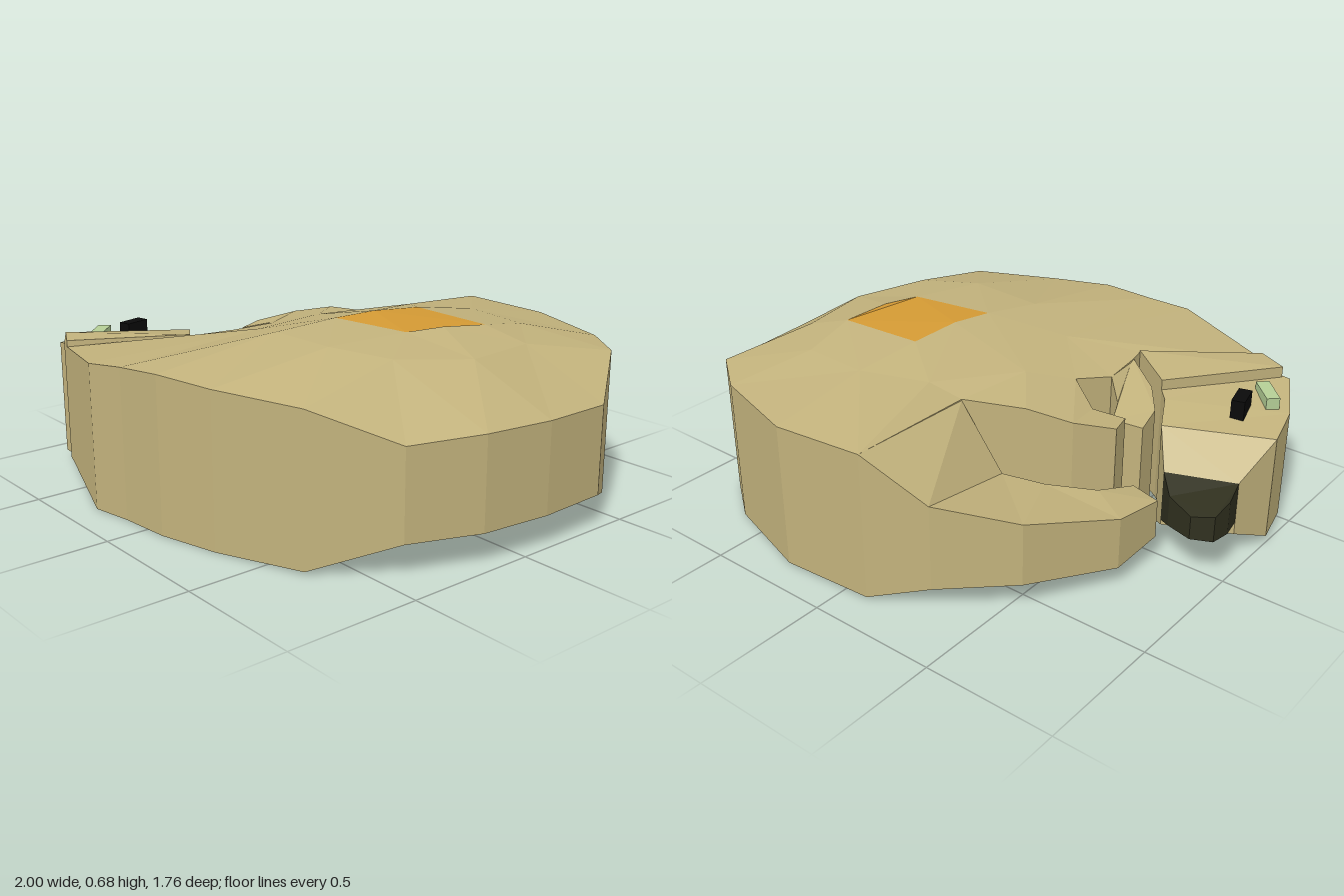
import * as THREE from 'three';

const mat = (color) => new THREE.MeshStandardMaterial({ color, flatShading: true, side: THREE.DoubleSide });
const flat = (ring) => ring.map((p) => new THREE.Vector2(p[0], p[1]));

// One triangle of [x, z, yTop, yBottom] points, turned to face up or down.
function triangle(out, [a, b, c], level, up) {
  const ny = (b[1] - a[1]) * (c[0] - a[0]) - (b[0] - a[0]) * (c[1] - a[1]);
  for (const p of (ny > 0) === up ? [a, b, c] : [a, c, b]) out.push(p[0], p[level], p[1]);
}

// Fills a ring at its top (level 2) or bottom (level 3).
function cap(out, ring, level) {
  for (const face of THREE.ShapeUtils.triangulateShape(flat(ring), [])) {
    triangle(out, face.map((i) => ring[i]), level, level === 2);
  }
}

// Joins two nested rings with a band of triangles, always taking the shorter diagonal.
function stitch(out, outer, inner) {
  const at = (ring, i) => ring[i % ring.length];
  const gap = (p, q) => Math.hypot(p[0] - q[0], p[1] - q[1]);
  let i = 0;
  let j = 0;
  while (i < outer.length || j < inner.length) {
    const [a, b] = [at(outer, i), at(inner, j)];
    const [nextA, nextB] = [at(outer, i + 1), at(inner, j + 1)];
    if (j === inner.length || (i < outer.length && gap(nextA, b) < gap(a, nextB))) {
      triangle(out, [a, nextA, b], 2, true);
      i++;
    } else {
      triangle(out, [a, nextB, b], 2, true);
      j++;
    }
  }
}

// Upright walls around a ring, facing outwards.
function walls(out, ring) {
  const pts = THREE.ShapeUtils.area(flat(ring)) > 0 ? [...ring].reverse() : ring;
  pts.forEach((p, i) => {
    const q = pts[(i + 1) % pts.length];
    const [a, b, c, d] = [[p[0], p[3], p[1]], [q[0], q[3], q[1]], [q[0], q[2], q[1]], [p[0], p[2], p[1]]];
    out.push(...a, ...b, ...c, ...a, ...c, ...d);
  });
}

function meshFrom(name, positions, material) {
  const g = new THREE.BufferGeometry();
  g.setAttribute('position', new THREE.Float32BufferAttribute(positions, 3));
  g.computeVertexNormals();
  const m = new THREE.Mesh(g, material);
  m.name = name;
  return m;
}

// Closed block with sloping top and bottom.
function slab(name, ring, material) {
  const out = [];
  cap(out, ring, 2);
  cap(out, ring, 3);
  walls(out, ring);
  return meshFrom(name, out, material);
}

export function createModel() {
  const model = new THREE.Group();
  const fur = mat(0xc2b27c);

  // Rim of the curled body
  const outline = [
    [-0.1, -0.86, 0.575, 0.01], [0.26, -0.885, 0.565, 0.01], [0.63, -0.77, 0.56, 0.01], [0.81, -0.64, 0.56, 0.01],
    [0.99, -0.38, 0.45, 0.12], [1, -0.1, 0.455, 0.12], [0.97, 0.17, 0.46, 0.12], [0.87, 0.43, 0.45, 0.12],
    [0.64, 0.65, 0.56, 0.01], [0.31, 0.77, 0.57, 0], [0.08, 0.83, 0.58, 0], [-0.12, 0.85, 0.565, 0],
    [-0.28, 0.88, 0.55, 0], [-0.7, 0.74, 0.5, 0.03], [-0.36, 0.4, 0.555, 0.02], [-0.37, 0.34, 0.55, 0.02],
    [-0.38, 0.18, 0.54, 0.03], [-0.31, 0.05, 0.56, 0.03], [-0.33, -0.27, 0.575, 0.03], [-0.11, -0.355, 0.575, 0.01],
  ];
  // Raised ring on the back
  const ridge = [
    [0, -0.4, 0.625], [0.24, -0.5, 0.635], [0.51, -0.48, 0.63], [0.7, -0.3, 0.62], [0.74, 0, 0.625],
    [0.62, 0.26, 0.645], [0.4, 0.35, 0.658], [0.1, 0.34, 0.65], [-0.12, 0.25, 0.605], [-0.18, -0.08, 0.6],
  ];
  // Coloured patch on the crown of the back
  const patch = [
    [0.2, -0.25, 0.67], [0.54, -0.26, 0.665], [0.51, -0.08, 0.68], [0.47, 0.06, 0.675], [0.15, 0.11, 0.675], [0.18, -0.05, 0.683],
  ];
  const body = [];
  stitch(body, outline, ridge);
  stitch(body, ridge, patch);
  cap(body, outline, 3);
  walls(body, outline);
  model.add(meshFrom('body', body, fur));

  const patchFaces = [];
  cap(patchFaces, patch, 2);
  model.add(meshFrom('backPatch', patchFaces, mat(0xd49a34)));

  // Two tucked paws
  model.add(slab('frontPaw', [
    [-0.36, 0.35, 0.55, 0.02], [-0.5, 0.27, 0.5, 0.05], [-0.58, 0.17, 0.47, 0.1], [-0.6, 0.06, 0.45, 0.12],
    [-0.49, 0.03, 0.46, 0.12], [-0.45, 0.12, 0.48, 0.1], [-0.38, 0.18, 0.54, 0.05],
  ], fur));
  model.add(slab('backPaw', [
    [-0.31, 0.05, 0.56, 0.03], [-0.45, -0.04, 0.52, 0.08], [-0.55, 0.02, 0.49, 0.12], [-0.58, -0.08, 0.5, 0.12],
    [-0.48, -0.2, 0.54, 0.08], [-0.33, -0.27, 0.575, 0.03],
  ], fur));

  // Tail curling round from the rear towards the nose
  const tailOuter = [
    [-0.1, -0.86, 0.575, 0.01], [-0.31, -0.76, 0.41, 0.08], [-0.56, -0.58, 0.35, 0.11], [-0.73, -0.26, 0.28, 0.08], [-0.74, -0.04, 0.25, 0.1],
  ];
  const tailInner = [
    [-0.11, -0.355, 0.57, 0.01], [-0.28, -0.34, 0.33, 0.06], [-0.43, -0.29, 0.32, 0.08], [-0.58, -0.18, 0.3, 0.08], [-0.625, -0.02, 0.26, 0.1],
  ];
  const tail = [];
  for (let i = 0; i < 4; i++) {
    const quad = [tailOuter[i], tailOuter[i + 1], tailInner[i + 1], tailInner[i]];
    cap(tail, quad, 2);
    cap(tail, quad, 3);
  }
  walls(tail, [...tailOuter, ...[...tailInner].reverse()]);
  model.add(meshFrom('tail', tail, fur));

  // Head resting at the front, with the muzzle sloping down and the ear band behind
  model.add(slab('head', [
    [-1, 0.31, 0.435, 0.03], [-0.96, 0.48, 0.455, 0.03], [-0.85, 0.69, 0.48, 0.03], [-0.8, 0.69, 0.485, 0.03],
    [-0.53, 0.29, 0.49, 0.03], [-0.57, 0.25, 0.48, 0.04], [-0.64, 0.12, 0.45, 0.05],
  ], fur));
  model.add(slab('muzzle', [
    [-1, 0.31, 0.435, 0.03], [-0.64, 0.12, 0.45, 0.05], [-0.71, 0.04, 0.32, 0.1], [-0.95, 0.15, 0.31, 0.1],
  ], fur));
  model.add(slab('ear', [
    [-0.82, 0.68, 0.525, 0.03], [-0.53, 0.29, 0.53, 0.03], [-0.36, 0.4, 0.56, 0.03], [-0.7, 0.74, 0.525, 0.03],
    [-0.76, 0.72, 0.5, 0.03],
  ], fur));

  // Dark nose, tapering forward
  model.add(slab('nose', [
    [-0.95, 0.15, 0.31, 0.15], [-0.98, 0.04, 0.3, 0.17], [-0.975, -0.05, 0.28, 0.18], [-0.9, -0.085, 0.27, 0.18],
    [-0.78, -0.03, 0.28, 0.16], [-0.71, 0.04, 0.32, 0.12],
  ], mat(0x30301f)));

  // Eye and its pale marking
  const box = (name, size, pos, turn, color) => {
    const m = new THREE.Mesh(new THREE.BoxGeometry(...size), mat(color));
    m.name = name;
    m.position.set(...pos);
    m.rotation.y = turn;
    model.add(m);
  };
  box('eye', [0.05, 0.08, 0.105], [-0.815, 0.485, 0.375], 0.25, 0x0a0a0a);
  box('eyeMarking', [0.05, 0.06, 0.14], [-0.85, 0.475, 0.51], 0.78, 0xb5cf96);

  return model;
}
